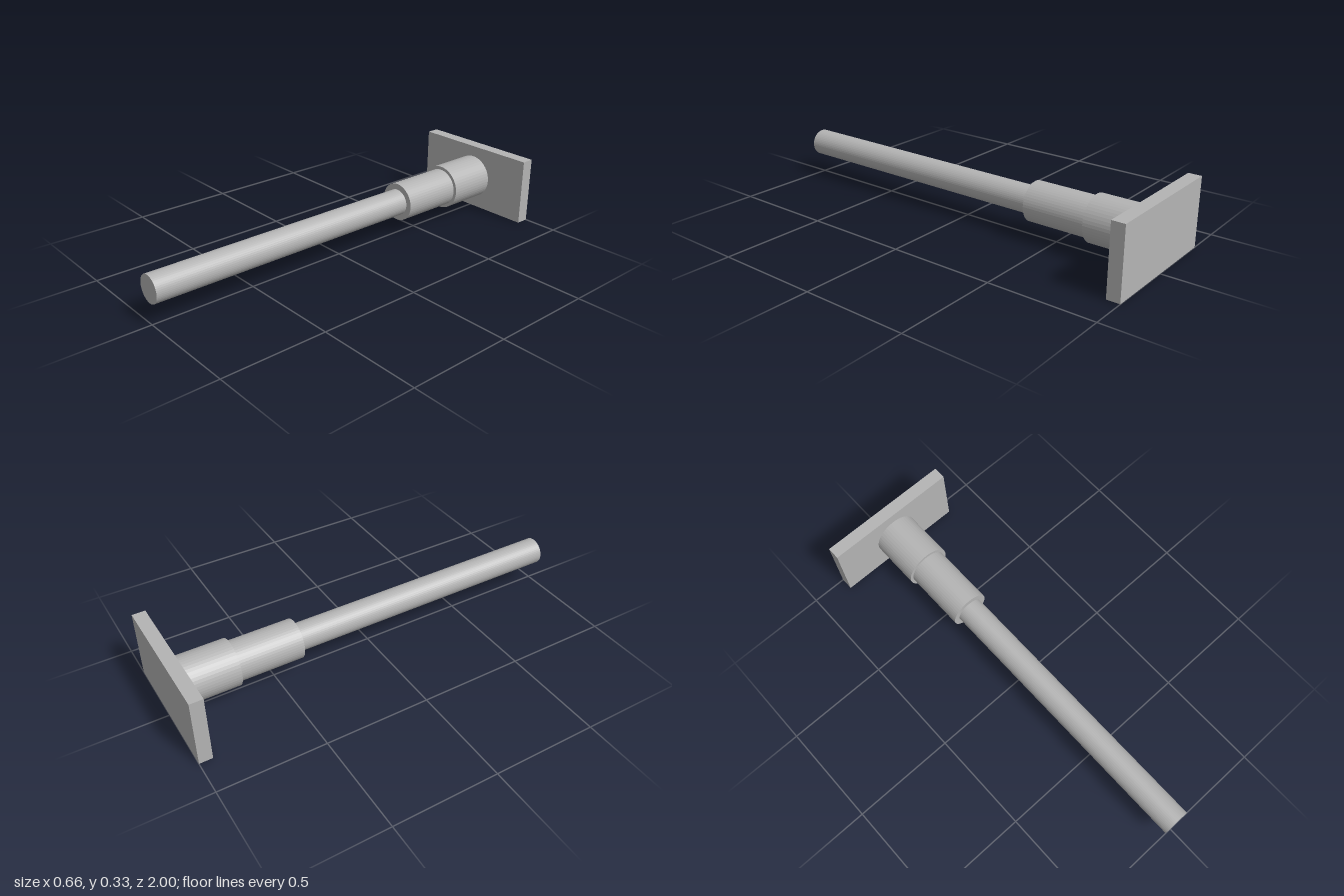
import * as THREE from 'three';

export function createModel() {
  const group = new THREE.Group();
  group.name = 'steppedRodOnPlate';
  const grey = new THREE.MeshStandardMaterial({ color: 0xb4b4b4, flatShading: true });
  grey.name = 'grey';
  const axisY = 0.165;

  const add = (name, geometry, z) => {
    const mesh = new THREE.Mesh(geometry, grey);
    mesh.name = name;
    mesh.position.set(0, axisY, z);
    group.add(mesh);
  };

  // Rectangular mounting plate at the back
  add('mountingPlate', new THREE.BoxGeometry(0.656, 0.33, 0.062), -0.969);

  // Coaxial round sections, each starting where the wider one ends
  const sections = [
    ['baseCollar', 0.11, -0.938, -0.69],
    ['sleeve', 0.094, -0.69, -0.38],
    ['rod', 0.065, -0.38, 1],
  ];
  for (const [name, radius, back, front] of sections) {
    const geometry = new THREE.CylinderGeometry(radius, radius, front - back, 48);
    geometry.rotateX(Math.PI / 2);
    add(name, geometry, (back + front) / 2);
  }
  return group;
}
